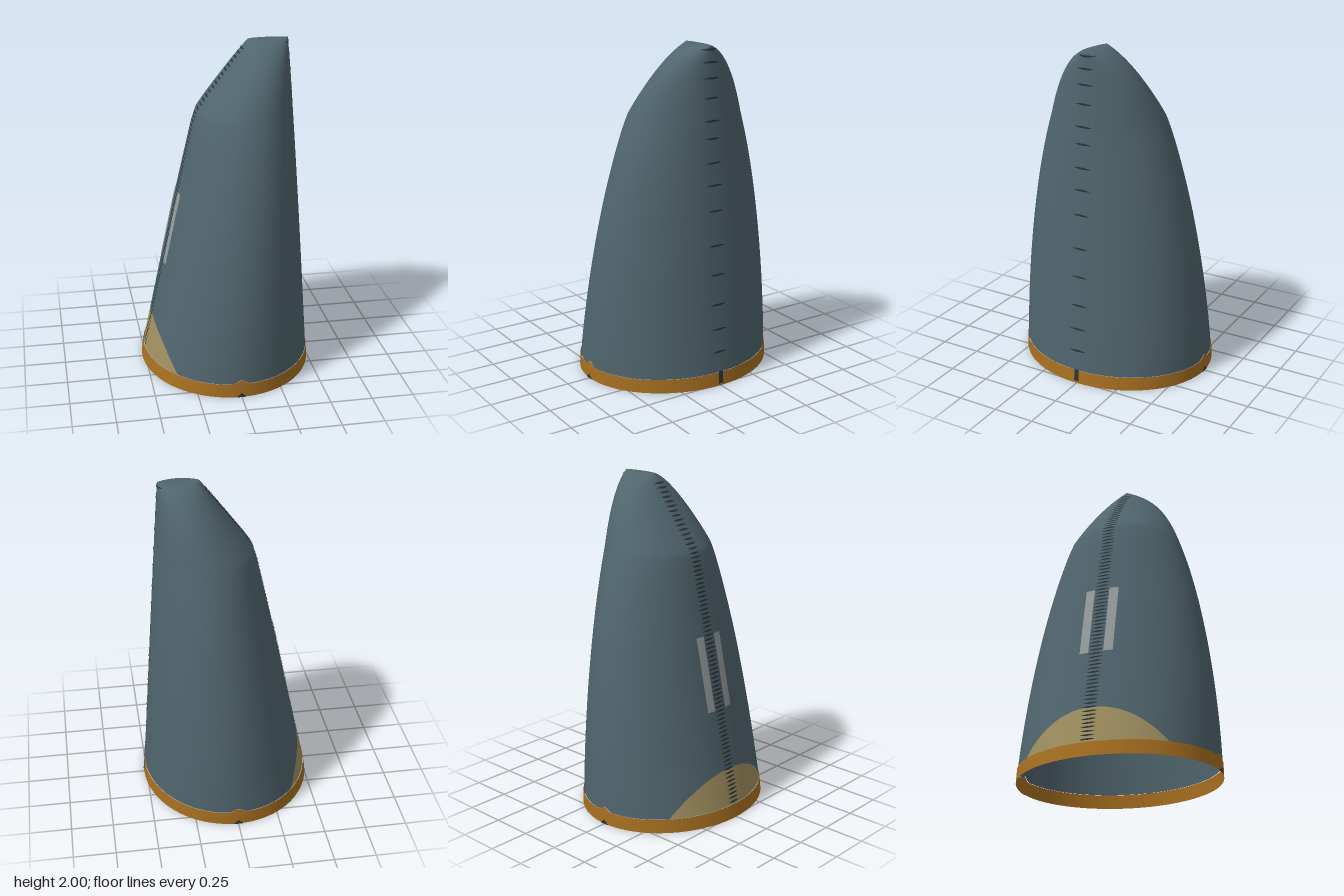
import * as THREE from 'three';
import { mergeGeometries } from 'three/addons/utils/BufferGeometryUtils.js';

const H = 2;
const lerp = THREE.MathUtils.lerp;

// Left-hand slope of the shell: [height, x]
const SLOPE = [[0, -0.515], [0.08, -0.503], [0.3, -0.455], [1, -0.305], [1.5, -0.192],
  [1.58, -0.168], [1.65, -0.12], [2, 0.14]];

function slopeX(y) {
  let i = 0;
  while (i < SLOPE.length - 2 && y > SLOPE[i + 1][0]) i++;
  const [y0, x0] = SLOPE[i], [y1, x1] = SLOPE[i + 1];
  return lerp(x0, x1, (y - y0) / (y1 - y0));
}

// Half depth of the elliptical cross-section, closing to a ridge at the top
const depth = (y) => 0.596 * Math.pow(Math.max(0, 1 - Math.pow(y / H, 1.65)), 0.48);

// Point on the shell at an angle and height, pushed out by off
function shellPoint(a, y, off = 0) {
  const x0 = slopeX(y), x1 = lerp(0.512, 0.375, y / H);
  return [(x0 + x1) / 2 + ((x1 - x0) / 2 + off) * Math.cos(a), y, (depth(y) + off) * Math.sin(a)];
}

// Point beside the centre seam: side +1 or -1, at a given z
function seamPoint(side, z, y, off) {
  const s = Math.asin(THREE.MathUtils.clamp(z / Math.max(depth(y), 1e-4), -1, 1));
  return shellPoint(side > 0 ? s : Math.PI - s, y, off);
}

// Grid surface from a rule f(u, v); wrap joins the last column to the first
function grid(nu, nv, f, wrap = false) {
  const pos = [], idx = [], cols = wrap ? nu : nu + 1;
  for (let j = 0; j <= nv; j++)
    for (let i = 0; i < cols; i++) pos.push(...f(i / nu, j / nv));
  for (let j = 0; j < nv; j++)
    for (let i = 0; i < nu; i++) {
      const k = (i + 1) % cols;
      const a = j * cols + i, b = j * cols + k, c = a + cols, d = b + cols;
      idx.push(a, c, b, b, c, d);
    }
  const g = new THREE.BufferGeometry();
  g.setAttribute('position', new THREE.Float32BufferAttribute(pos, 3));
  g.setIndex(idx);
  g.computeVertexNormals();
  return g;
}

// Top of the rim band, with a small point at front and back
const rimTop = (a) => 0.083 + 0.027 * Math.max(0, 1 - Math.abs(shellPoint(a, 0.08)[0]) / 0.05);

// Top of the corner panel, a slanting cut through the shell
function panelTop(a) {
  let y = 0.2;
  for (let i = 0; i < 16; i++)
    y = THREE.MathUtils.clamp(0.3 - (shellPoint(a, y)[0] + 0.455) * 2.2, 0, 0.35);
  return Math.max(rimTop(a), y);
}

export function createModel() {
  const mat = (name, color) => {
    const m = new THREE.MeshStandardMaterial({ color, side: THREE.DoubleSide });
    m.name = name;
    return m;
  };
  const steel = mat('slate', 0x50656d);
  const bronze = mat('bronze', 0xa87020);
  const tan = mat('tan', 0xa08f60);
  const grey = mat('light grey', 0x969c9c);
  const dark = mat('dark slit', 0x2a3436);

  const model = new THREE.Group();
  const add = (name, geo, material) => {
    const mesh = new THREE.Mesh(geo, material);
    mesh.name = name;
    model.add(mesh);
  };
  const TAU = Math.PI * 2;

  // Hollow shell, rows packed towards the rounded top
  add('shell', grid(192, 90, (u, v) => {
    const a = u * TAU;
    return shellPoint(a, lerp(panelTop(a), H, 1 - (1 - v) ** 2));
  }, true), steel);

  // Rim band round the open bottom
  add('rim', grid(192, 3, (u, v) => shellPoint(u * TAU, v * rimTop(u * TAU), 0.004), true), bronze);

  // Corner panel at the foot of the slope
  add('cornerPanel', grid(60, 10, (u, v) => {
    const a = Math.PI + (u - 0.5) * 1.7;
    return shellPoint(a, lerp(rimTop(a), panelTop(a), v));
  }), tan);

  // Pair of light strips beside the seam on the slope
  for (const s of [1, -1])
    add(s > 0 ? 'frontStrip' : 'backStrip', grid(4, 12, (u, v) =>
      seamPoint(-1, s * lerp(0.045, 0.1, u), lerp(0.66, 1.1, v), 0.005)), grey);

  // Lens-shaped slits along both seams
  const slit = (side, y, half, thick) => grid(8, 1, (u, v) => {
    const t = u * 2 - 1;
    return seamPoint(side, t * half, y + (v - 0.5) * thick * (1 - t * t), 0.003);
  });
  const steep = [0.21, 0.35, 0.5, 0.68, 0.855, 1.06, 1.21, 1.34, 1.48, 1.58, 1.71, 1.82, 1.91, 1.98];
  add('steepSideSlits', mergeGeometries(steep.map((y) => slit(1, y, 0.055, 0.012))), dark);
  const ladder = [];
  for (let y = 0.1; y < 1.97; y += 0.025) ladder.push(slit(-1, y, 0.045, 0.011));
  add('slopeSlits', mergeGeometries(ladder), dark);

  // Notches in the rim at front, back and the steep side
  const notches = [1, -1].map((s) => grid(6, 1, (u, v) => {
    const t = u * 2 - 1;
    return shellPoint(s * Math.PI / 2 + t * 0.06, v * 0.028 * (1 - Math.abs(t)), 0.007);
  }));
  notches.push(grid(2, 1, (u, v) => seamPoint(1, (u - 0.5) * 0.03, lerp(0.015, 0.09, v), 0.007)));
  add('rimNotches', mergeGeometries(notches), dark);

  return model;
}
